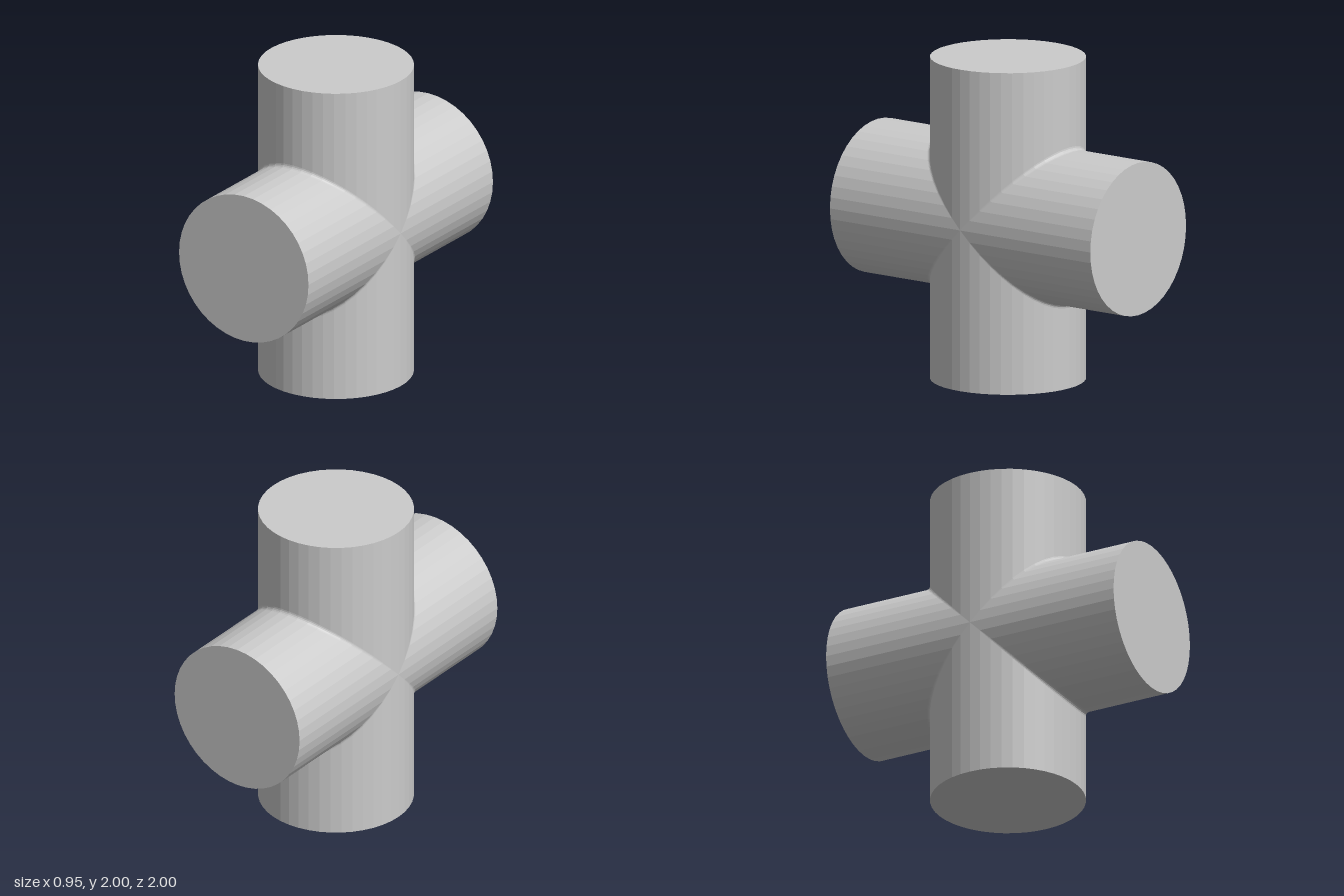
import * as THREE from 'three';

const RADIUS = 0.474;  // pipe radius
const REACH = 1;       // centre to each pipe end
const FILLET = 0.025;  // rounding where the pipes meet
const SIDES = 44;      // facets around a full pipe
const ARC_STEPS = 4;

// One quarter of the cross: runs down half the upper pipe, through the
// rounded mitre, and out along half the front pipe.
function quarterGeometry() {
  const half = SIDES / 2;
  const positions = [];
  const index = [];
  const row = ARC_STEPS + 3;
  for (let i = 0; i <= half; i++) {
    const a = (i / half) * Math.PI;
    const x = RADIUS * Math.cos(a);
    const w = RADIUS * Math.sin(a);
    const f = FILLET * Math.sin(a); // fades out where the surfaces become tangent
    positions.push(x, REACH, w);
    for (let j = 0; j <= ARC_STEPS; j++) {
      const t = (j / ARC_STEPS) * Math.PI / 2;
      positions.push(x, w + f * (1 - Math.sin(t)), w + f * (1 - Math.cos(t)));
    }
    positions.push(x, w, REACH);
  }
  for (let i = 0; i < half; i++) {
    for (let j = 0; j < row - 1; j++) {
      const p = i * row + j;
      const q = p + row;
      index.push(p, q, p + 1, q, q + 1, p + 1);
    }
  }
  const geometry = new THREE.BufferGeometry();
  geometry.setAttribute('position', new THREE.Float32BufferAttribute(positions, 3));
  geometry.setIndex(index);
  geometry.computeVertexNormals();
  return geometry;
}

export function createModel() {
  const model = new THREE.Group();
  model.name = 'pipeCross';
  const material = new THREE.MeshStandardMaterial({ color: 0xcccccc, flatShading: true });
  const quarter = quarterGeometry();
  const disc = new THREE.CircleGeometry(RADIUS, SIDES).translate(0, 0, REACH);

  // Four quarters and four flat ends, turned about the x axis
  ['Front', 'Bottom', 'Back', 'Top'].forEach((side, k) => {
    const wall = new THREE.Mesh(quarter, material);
    wall.name = 'pipeWall' + side;
    const cap = new THREE.Mesh(disc, material);
    cap.name = 'endCap' + side;
    for (const mesh of [wall, cap]) {
      mesh.rotation.x = k * Math.PI / 2;
      mesh.position.y = REACH;
      model.add(mesh);
    }
  });
  return model;
}
